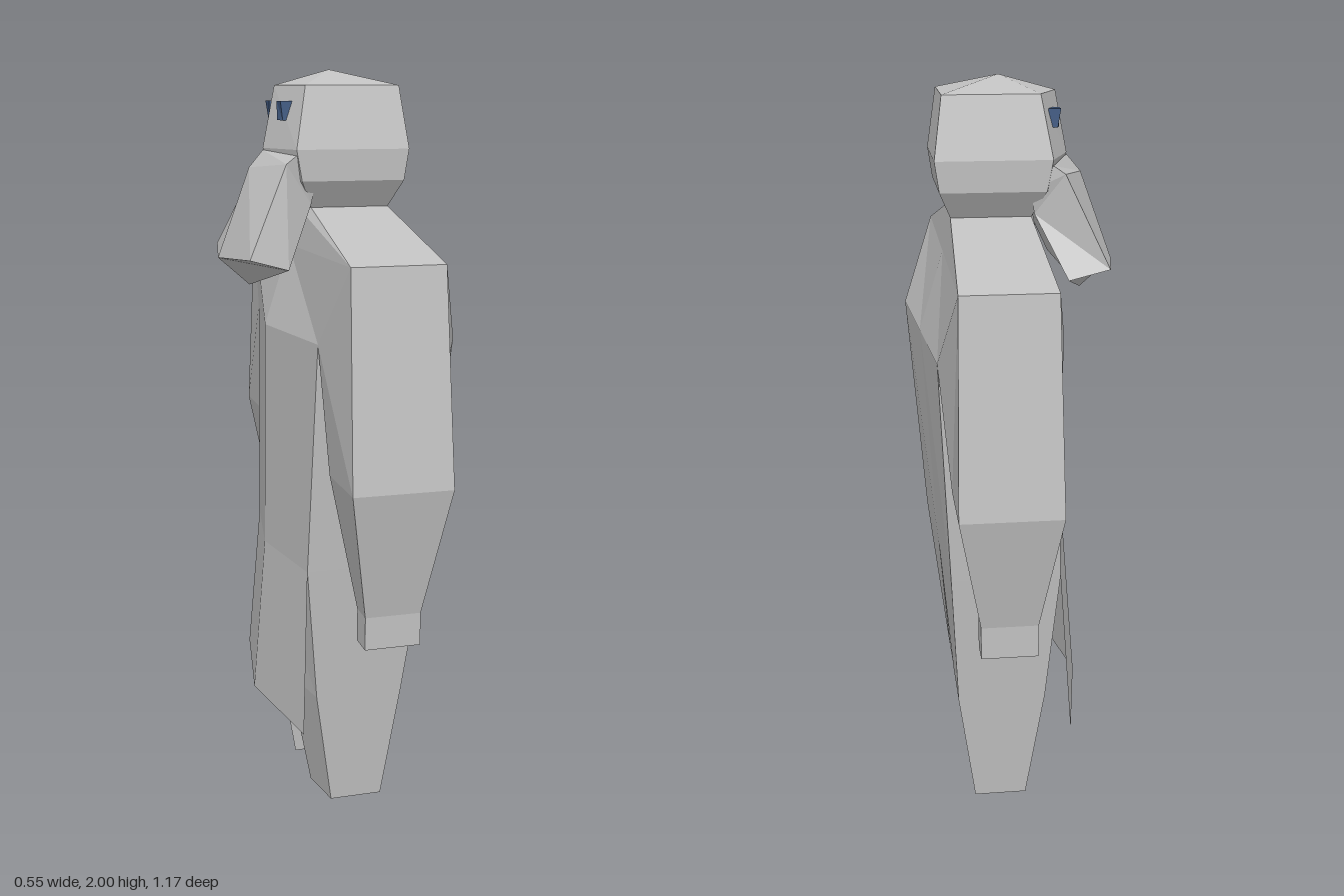
import * as THREE from 'three';

const grey = new THREE.MeshStandardMaterial({ color: 0xc0c0c0, side: THREE.DoubleSide });
grey.name = 'stoneGrey';
const blue = new THREE.MeshStandardMaterial({ color: 0x46618a });
blue.name = 'eyeBlue';

// Faceted solid (or open sheet) through rings of [x, y, z] corners.
function loft(name, rings, material = grey, sheet = false) {
  const tris = [];
  const n = rings[0].length;
  for (let r = 0; r < rings.length - 1; r++) {
    const a = rings[r], b = rings[r + 1];
    for (let i = 0; i < (sheet ? n - 1 : n); i++) {
      const j = (i + 1) % n;
      tris.push([a[i], b[i], b[j]], [a[i], b[j], a[j]]);
    }
  }
  if (!sheet) {
    const first = rings[0], last = rings[rings.length - 1];
    for (let i = 1; i < n - 1; i++) {
      tris.push([first[0], first[i], first[i + 1]], [last[0], last[i + 1], last[i]]);
    }
    // Turn the faces outward whichever way the rings run.
    const v = (p) => new THREE.Vector3(...p);
    const volume = tris.reduce((s, [p, q, t]) => s + v(p).dot(v(q).cross(v(t))), 0);
    if (volume < 0) tris.forEach((t) => t.reverse());
  }
  const geometry = new THREE.BufferGeometry();
  geometry.setAttribute('position', new THREE.Float32BufferAttribute(tris.flat(2), 3));
  geometry.computeVertexNormals();
  const mesh = new THREE.Mesh(geometry, material);
  mesh.name = name;
  return mesh;
}

// Six-sided ring with a ridge along the front (-x) and back (+x) centre lines.
const ridged = (y, z, frontMid, front, back, backMid, backRight = back) => [
  [frontMid, y, 0], [front, y, z], [back, y, z],
  [backMid, y, 0], [backRight, y, -z], [front, y, -z],
];

export function createModel() {
  const model = new THREE.Group();

  // Torso: neck base, shoulders, armpits, hips
  model.add(loft('torso', [
    ridged(1.65, 0.1, -0.06, -0.045, 0.165, 0.165),
    ridged(1.545, 0.52, -0.08, -0.06, 0.18, 0.18),
    ridged(1.33, 0.335, -0.148, -0.09, 0.27, 0.245, 0.22),
    ridged(0.71, 0.285, -0.155, -0.105, 0.22, 0.205, 0.19),
  ]));

  // Head, with an angular face
  const peak = Array.from({ length: 6 }, () => [0.03, 2, 0]);
  model.add(loft('head', [
    peak,
    ridged(1.96, 0.12, -0.118, -0.065, 0.185, 0.185),
    ridged(1.8, 0.148, -0.15, -0.095, 0.207, 0.207),
    ridged(1.72, 0.145, -0.13, -0.08, 0.195, 0.195),
    ridged(1.65, 0.1, -0.06, -0.045, 0.165, 0.165),
  ]));

  // Beard: wedge flaring forward and down from the jaw
  const beardRing = (frontMid, front, back, backMid) => {
    const flip = ([x, y, z]) => [x, y, -z];
    return [[...frontMid, 0], front, back, [...backMid, 0], flip(back), flip(front)];
  };
  model.add(loft('beard', [
    beardRing([-0.15, 1.795], [-0.095, 1.785, 0.146], [-0.04, 1.72, 0.13], [-0.08, 1.72]),
    beardRing([-0.188, 1.75], [-0.125, 1.765, 0.158], [-0.05, 1.66, 0.12], [-0.1, 1.64]),
    beardRing([-0.275, 1.515], [-0.235, 1.53, 0.215], [-0.13, 1.5, 0.2], [-0.19, 1.44]),
  ]));

  // Front skirt panel, folded along its middle
  const skirtRing = (y, z, edge, mid) => [[edge, y, -z], [mid, y, 0], [edge, y, z]];
  model.add(loft('skirtPanel', [
    skirtRing(0.71, 0.285, -0.105, -0.155),
    skirtRing(0.27, 0.34, -0.13, -0.19),
  ], grey, true));

  for (const [side, s] of [['left', -1], ['right', 1]]) {
    // Limb ring: outer and inner edges, each with front and back x
    const ring = (outer, inner) => {
      const [oz, oy, of, ob] = outer, [iz, iy, inf, ib] = inner;
      return [[of, oy, s * oz], [ob, oy, s * oz], [ib, iy, s * iz], [inf, iy, s * iz]];
    };
    const armpitBack = s > 0 ? 0.27 : 0.22;
    const lift = s > 0 ? 0 : 0.025;

    // Arm from shoulder through elbow to wrist
    model.add(loft(side + 'Arm', [
      ring([0.52, 1.545, -0.06, 0.18], [0.335, 1.33, -0.09, armpitBack]),
      ring([0.583, 1, -0.07, 0.19], [0.375, 1, -0.07, 0.19]),
      ring([0.515, 0.66 + lift, -0.015, 0.132], [0.445, 0.66 + lift, -0.015, 0.132]),
    ]));
    model.add(loft(side + 'Hand', [
      ring([0.515, 0.66 + lift, -0.015, 0.132], [0.445, 0.66 + lift, -0.015, 0.132]),
      ring([0.515, 0.573 + lift, -0.015, 0.132], [0.445, 0.573 + lift, -0.015, 0.132]),
    ]));

    // Leg from hip through knee to foot
    const hipBack = s > 0 ? 0.22 : 0.19;
    model.add(loft(side + 'Leg', [
      ring([0.285, 0.71, -0.105, hipBack], [0, 0.71, -0.15, 0.205]),
      ring([0.25, 0.33, -0.07, 0.172], [0.065, 0.33, -0.105, 0.172]),
      ring([0.22, 0, -0.02, 0.125], [0.09, 0, -0.045, 0.125]),
    ]));

    // Small tapered eye block
    model.add(loft(side + 'Eye', [
      ring([0.085, 1.92, -0.122, -0.09], [0.042, 1.92, -0.122, -0.095]),
      ring([0.08, 1.872, -0.115, -0.09], [0.048, 1.872, -0.122, -0.095]),
    ], blue));
  }
  return model;
}
